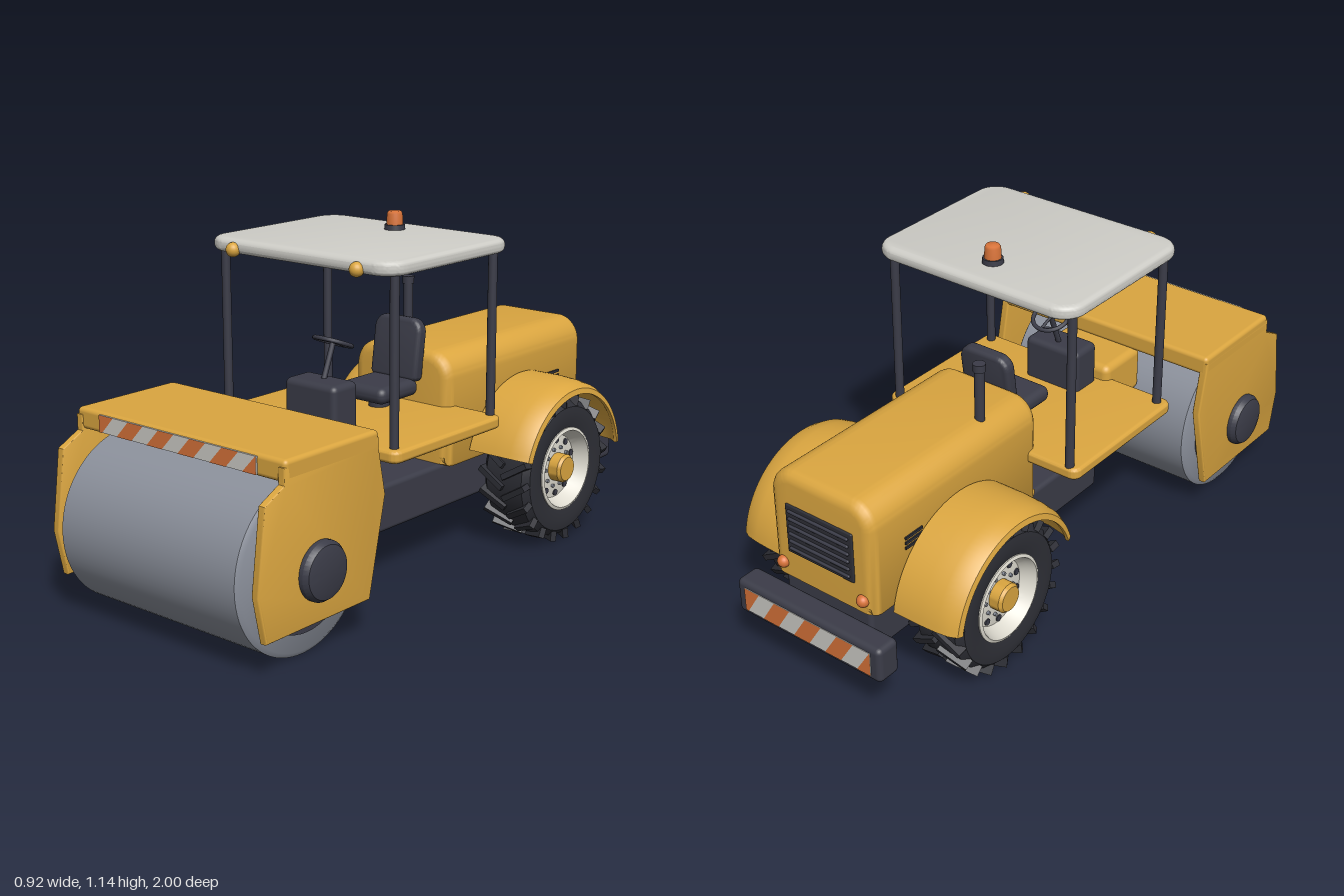
import * as THREE from 'three';
import { toCreasedNormals } from 'three/addons/utils/BufferGeometryUtils.js';
import { RoundedBoxGeometry } from 'three/addons/geometries/RoundedBoxGeometry.js';

const paint = (name, color) => Object.assign(new THREE.MeshStandardMaterial({ color }), { name });
const V2 = (x, y) => new THREE.Vector2(x, y);

export function createModel() {
  const yellow = paint('yellow', 0xdba640);
  const dark = paint('charcoal', 0x3b3c48);
  const rubber = paint('rubber', 0x2e2f36);
  const steel = paint('steel', 0x8b909b);
  const light = paint('light grey', 0xcfcec8);
  const cream = paint('rim cream', 0xdedbd0);
  const orange = paint('orange', 0xd9743a);
  const model = new THREE.Group();
  model.name = 'roadRoller';

  const add = (name, geo, mat, x = 0, y = 0, z = 0, parent = model) => {
    const m = new THREE.Mesh(geo, mat);
    m.name = name;
    m.position.set(x, y, z);
    parent.add(m);
    return m;
  };
  const group = (name, x, y, z) => {
    const g = new THREE.Group();
    g.name = name;
    g.position.set(x, y, z);
    model.add(g);
    return g;
  };
  const box = (w, h, d, r = 0.012) => new RoundedBoxGeometry(w, h, d, 3, r);
  const cyl = (r0, r1, h, n = 32) => new THREE.CylinderGeometry(r0, r1, h, n);
  const cylX = (r0, r1, h, n = 32) => cyl(r0, r1, h, n).rotateZ(-Math.PI / 2);
  // lathe turned about the x axis; profile points are [radius, x]
  const latheX = (pts, n = 64, start = 0, len = Math.PI * 2) =>
    toCreasedNormals(new THREE.LatheGeometry(pts.map(p => V2(...p)), n, start, len), 0.6).rotateZ(-Math.PI / 2);
  // extrusion with rounded edges, centred in depth
  const extrude = (shape, depth, bevel) => {
    const geo = new THREE.ExtrudeGeometry(shape, {
      depth: depth - 2 * bevel, bevelThickness: bevel, bevelSize: bevel, bevelOffset: -bevel, bevelSegments: 4, curveSegments: 8,
    });
    return toCreasedNormals(geo.translate(0, 0, bevel - depth / 2), 0.7);
  };
  const roundRect = (w, h, rTop, rBottom = rTop) => {
    const s = new THREE.Shape(), x = w / 2, y = h / 2, H = Math.PI / 2;
    s.absarc(x - rBottom, rBottom - y, rBottom, -H, 0);
    s.absarc(x - rTop, y - rTop, rTop, 0, H);
    s.absarc(rTop - x, y - rTop, rTop, H, 2 * H);
    s.absarc(rBottom - x, rBottom - y, rBottom, 2 * H, 3 * H);
    return s;
  };
  // warning board: light plate with slanted orange bars, facing +z
  const warningBoard = (name, W, h, period, bars, x, y, z) => {
    const g = group(name, x, y, z);
    add('boardPlate', new THREE.BoxGeometry(2 * W, h, 0.006), light, 0, 0, 0, g);
    const clamp = v => Math.max(-W, Math.min(W, v));
    for (let k = 0; k < bars; k++) {
      const a = -W - 0.052 + k * period, w = period / 2;
      const s = new THREE.Shape([V2(clamp(a), -h / 2), V2(clamp(a + w), -h / 2),
        V2(clamp(a + w + 0.05), h / 2), V2(clamp(a + 0.05), h / 2)]);
      add('warningBar', new THREE.ShapeGeometry(s), orange, 0, 0, 0.0045, g);
    }
    return g;
  };

  // Front drum and its frame
  add('drum', latheX([[0, -0.365], [0.255, -0.365], [0.27, -0.355], [0.27, 0.355], [0.255, 0.365], [0, 0.365]], 72), steel, 0, 0.27, 0.73);
  add('drumEnds', cylX(0.2, 0.2, 0.745, 48), dark, 0, 0.27, 0.73);
  add('drumAxle', cylX(0.07, 0.07, 0.82), dark, 0, 0.27, 0.73);
  add('frameTop', box(0.85, 0.066, 0.392, 0.014), yellow, 0, 0.587, 0.67);
  add('neck', box(0.29, 0.16, 0.2, 0.025), yellow, 0, 0.48, 0.41);
  warningBoard('frontWarningBoard', 0.32, 0.053, 0.128, 6, 0, 0.587, 0.868);
  const plate = new THREE.Shape([[0.53, 0.115], [0.95, 0.115], [0.98, 0.26], [0.947, 0.51], [0.87, 0.55],
    [0.87, 0.6], [0.475, 0.6], [0.475, 0.57], [0.445, 0.42], [0.515, 0.115]].map(p => V2(...p)));
  for (const s of [-1, 1]) {
    add('drumSidePlate', extrude(plate, 0.028, 0.007).rotateY(-Math.PI / 2), yellow, s * 0.411, 0, 0);
    const cap = add('drumHub', latheX([[0.09, 0], [0.09, 0.015], [0.08, 0.03], [0.06, 0.036], [0, 0.036]], 40), dark, s * 0.424, 0.27, 0.73);
    if (s < 0) cap.rotation.y = Math.PI;
  }

  // Chassis and articulation
  add('chassis', box(0.34, 0.155, 1.125, 0.015), dark, 0, 0.2375, -0.337);
  add('articulation', cyl(0.078, 0.078, 0.26), dark, 0, 0.35, 0.298);
  add('articulationPin', cyl(0.042, 0.042, 0.03), dark, 0, 0.21, 0.298);
  add('rearBumper', box(0.57, 0.12, 0.085, 0.018), dark, 0, 0.225, -0.953);
  warningBoard('rearWarningBoard', 0.25, 0.08, 0.125, 5, 0, 0.225, -0.9945).rotation.y = Math.PI;

  // Engine hood with grille, louvres and tail lights
  add('hood', extrude(roundRect(0.395, 0.38, 0.085, 0.01), 0.775, 0.035), yellow, 0, 0.495, -0.5275);
  add('grille', box(0.26, 0.17, 0.012, 0.005), rubber, 0, 0.495, -0.915);
  for (let i = 0; i < 6; i++) add('grilleBar', box(0.235, 0.01, 0.012, 0.004), dark, 0, 0.43 + i * 0.026, -0.922);
  for (const s of [-1, 1]) {
    for (let i = 0; i < 3; i++) add('louvre', new THREE.BoxGeometry(0.008, 0.009, 0.075), rubber, s * 0.198, 0.48 + i * 0.017, -0.735);
    add('tailLight', new THREE.SphereGeometry(0.02, 20, 14), orange, s * 0.157, 0.36, -0.916);
  }
  add('exhaust', cyl(0.016, 0.016, 0.2, 20), dark, -0.13, 0.75, -0.342);
  add('exhaustTip', cyl(0.02, 0.02, 0.025, 20), dark, -0.13, 0.86, -0.342);

  // Rear wheels
  const wheel = side => {
    const g = group(side > 0 ? 'leftWheel' : 'rightWheel', side * 0.305, 0.25, -0.54);
    if (side < 0) g.rotation.y = Math.PI;
    add('tyre', latheX([[0.14, -0.085], [0.18, -0.095], [0.212, -0.09], [0.232, -0.07], [0.236, 0],
      [0.232, 0.07], [0.212, 0.09], [0.18, 0.095], [0.138, 0.085]]), rubber, 0, 0, 0, g);
    add('innerDisc', cylX(0.145, 0.145, 0.02), dark, -0.07, 0, 0, g);
    add('rim', latheX([[0.142, 0.06], [0.142, 0.09], [0.132, 0.094], [0.122, 0.07], [0.108, 0.045], [0.06, 0.05], [0, 0.05]]), cream, 0, 0, 0, g);
    add('hub', latheX([[0.048, 0.04], [0.048, 0.085], [0.04, 0.095], [0, 0.095]], 32), yellow, 0, 0, 0, g);
    for (let i = 0; i < 10; i++) {
      const a = i * Math.PI / 5;
      add('rimHole', cylX(0.011, 0.011, 0.008, 14), dark, 0.047, Math.cos(a) * 0.092, Math.sin(a) * 0.092, g);
      add('wheelNut', cylX(0.006, 0.006, 0.012, 6), steel, 0.052, Math.cos(a + 0.3) * 0.066, Math.sin(a + 0.3) * 0.066, g);
    }
    // chevron tread
    for (let i = 0; i < 40; i++) {
      const s = i % 2 ? 1 : -1;
      const lug = new THREE.BoxGeometry(0.105, 0.034, 0.02).rotateY(s * side * 0.55);
      lug.translate(s * 0.045, 0.231, 0).rotateX(i * Math.PI / 20);
      add('treadLug', lug, rubber, 0, 0, 0, g);
    }
  };
  add('rearAxle', cylX(0.05, 0.05, 0.5), dark, 0, 0.25, -0.54);

  // Fenders: closed curved shells with end caps
  const fender = side => {
    const g = group(side > 0 ? 'leftFender' : 'rightFender', 0, 0.25, -0.54);
    const pts = [[0.285, 0.205], [0.305, 0.205], [0.305, 0.3], [0.301, 0.36], [0.294, 0.4], [0.28, 0.425],
      [0.262, 0.43], [0.262, 0.418], [0.275, 0.4], [0.285, 0.34], [0.285, 0.205]].map(([r, x]) => [r, side * x]);
    if (side < 0) pts.reverse();
    const start = Math.PI + 0.15, end = 2 * Math.PI - 0.32;
    add('fenderShell', latheX(pts, 40, start, end - start), yellow, 0, 0, 0, g);
    for (const phi of [start, end]) {
      const cap = new THREE.ShapeGeometry(new THREE.Shape(pts.slice(0, -1).map(p => V2(...p))));
      if (phi === end) cap.index.array.reverse();
      add('fenderEnd', cap.rotateY(phi - Math.PI / 2).rotateZ(-Math.PI / 2), yellow, 0, 0, 0, g);
    }
  };
  for (const s of [-1, 1]) { wheel(s); fender(s); }

  // Operator platform, console and steering
  add('platform', extrude(roundRect(0.76, 0.535, 0.03), 0.04, 0.012).rotateX(-Math.PI / 2), yellow, 0, 0.49, 0.077);
  add('console', box(0.21, 0.165, 0.115, 0.02), dark, 0, 0.57, 0.248);
  const steering = group('steering', 0, 0.76, 0.19);
  steering.rotation.x = -0.38;
  add('steeringWheel', new THREE.TorusGeometry(0.06, 0.007, 10, 36).rotateX(Math.PI / 2), dark, 0, 0, 0, steering);
  add('steeringColumn', cyl(0.009, 0.009, 0.14, 14), dark, 0, -0.07, 0, steering);
  for (let i = 0; i < 3; i++) {
    const spoke = cylX(0.005, 0.005, 0.06, 8).translate(0.03, 0, 0).rotateY(Math.PI / 2 + i * Math.PI * 2 / 3);
    add('steeringSpoke', spoke, dark, 0, 0, 0, steering);
  }

  // Seat
  add('seatPedestal', cyl(0.034, 0.034, 0.05), dark, 0, 0.525, -0.032);
  add('seatCushion', box(0.19, 0.055, 0.19, 0.025), dark, 0, 0.567, -0.03);
  add('seatBack', extrude(roundRect(0.19, 0.205, 0.045, 0.02), 0.045, 0.015), dark, 0, 0.685, -0.133).rotation.x = -0.14;

  // Canopy with posts, work lights and beacon
  for (const s of [-1, 1]) {
    for (const z of [0.308, -0.172]) add('canopyPost', cyl(0.0145, 0.0145, 0.54, 20), dark, s * 0.343, 0.775, z);
    add('workLightHousing', cyl(0.02, 0.02, 0.02, 20).rotateX(Math.PI / 2), dark, s * 0.25, 1.045, 0.365);
    add('workLight', new THREE.SphereGeometry(0.023, 20, 14), yellow, s * 0.25, 1.045, 0.369);
  }
  add('canopy', extrude(roundRect(0.76, 0.605, 0.08), 0.045, 0.021).rotateX(-Math.PI / 2), light, 0, 1.0525, 0.065);
  add('beaconBase', cyl(0.032, 0.034, 0.018), dark, 0, 1.082, -0.11);
  add('beacon', new THREE.LatheGeometry([[0.027, 0], [0.025, 0.036], [0.021, 0.044], [0, 0.046]].map(p => V2(...p)), 28), orange, 0, 1.089, -0.11);
  return model;
}
